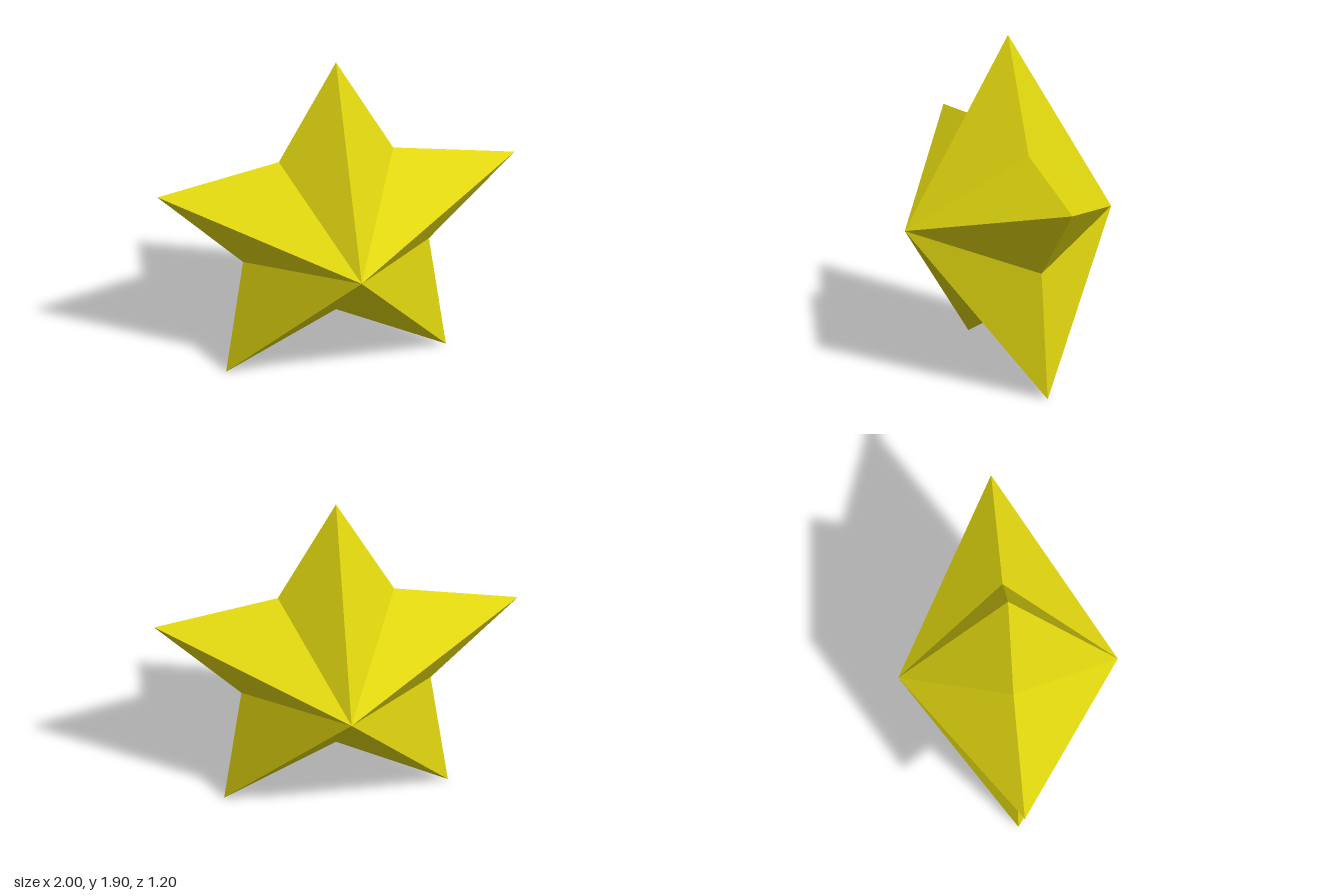
import * as THREE from 'three';

// Right half of the star outline, from top tip to bottom notch
const HALF = [[0, 1.9], [0.32, 1.305], [1, 1.178], [0.52, 0.692], [0.615, 0], [0, 0.312]];
const CENTRE_Y = 0.842;
const DEPTH = 0.6;

// Fan of flat facets from the outline up to a central peak
function starHalf(outline, side) {
  const peak = [0, CENTRE_Y, side * DEPTH];
  const positions = [];
  outline.forEach(([x, y], i) => {
    const [nx, ny] = outline[(i + 1) % outline.length];
    const a = [x, y, 0], b = [nx, ny, 0];
    // the outline runs clockwise seen from the front
    positions.push(...peak, ...(side > 0 ? [...b, ...a] : [...a, ...b]));
  });
  const geometry = new THREE.BufferGeometry();
  geometry.setAttribute('position', new THREE.Float32BufferAttribute(positions, 3));
  geometry.computeVertexNormals();
  return geometry;
}

export function createModel() {
  const group = new THREE.Group();
  group.name = 'star';

  const yellow = new THREE.MeshStandardMaterial({ color: 0xe0d60f });
  yellow.name = 'yellow';
  yellow.flatShading = true;

  // Mirror the half outline to close the five points
  const mirrored = HALF.slice(1, -1).reverse().map(([x, y]) => [-x, y]);
  const outline = [...HALF, ...mirrored];

  for (const [name, side] of [['frontFacets', 1], ['backFacets', -1]]) {
    const mesh = new THREE.Mesh(starHalf(outline, side), yellow);
    mesh.name = name;
    group.add(mesh);
  }
  return group;
}
